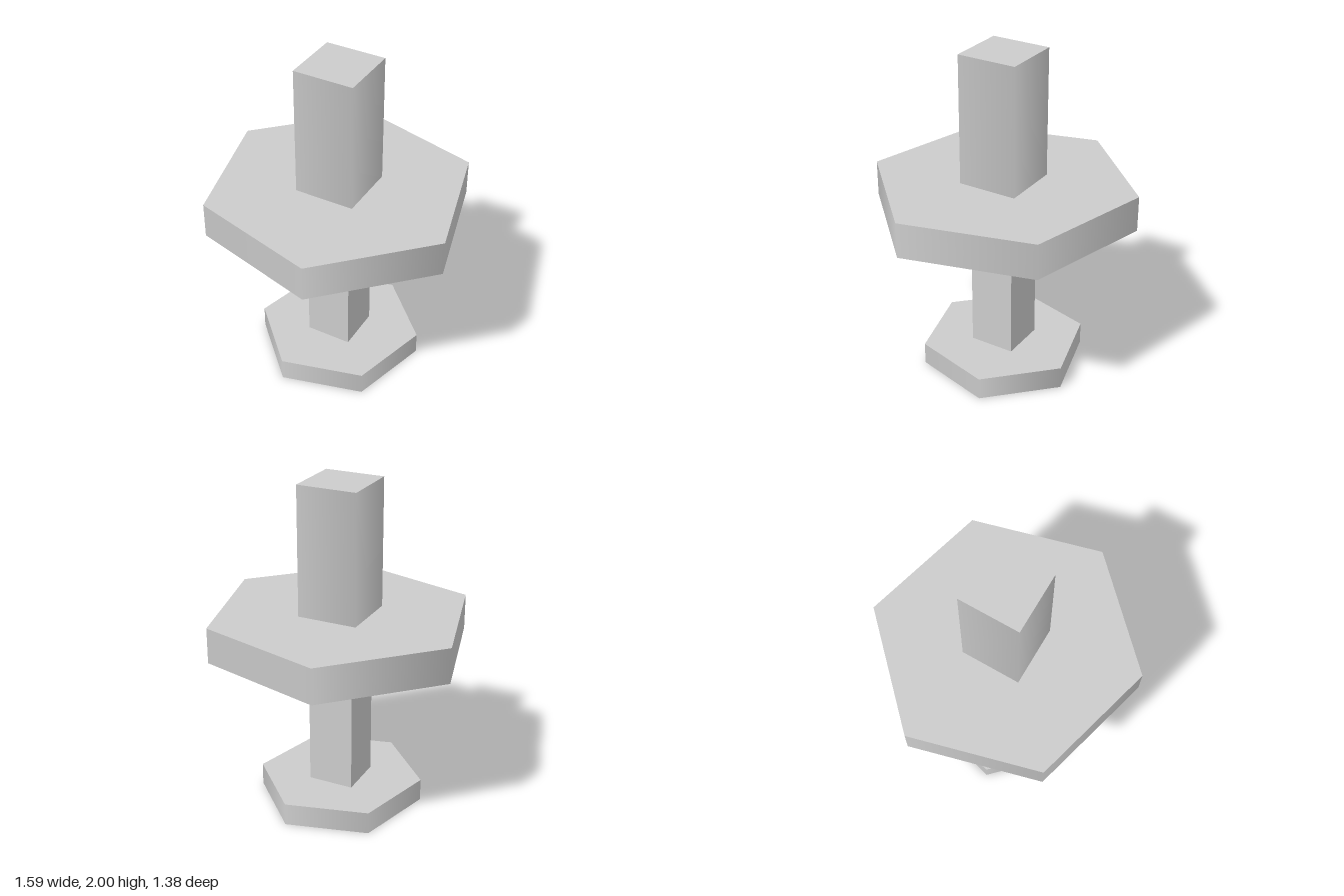
import * as THREE from 'three';

export function createModel() {
  const model = new THREE.Group();
  const grey = new THREE.MeshStandardMaterial({ color: 0xcccccc });
  grey.name = 'lightGrey';

  // Upright prism between two heights; smooth or faceted sides
  function prism(name, radius, sides, bottom, top, turn = 0, faceted = false) {
    let geometry = new THREE.CylinderGeometry(radius, radius, top - bottom, sides);
    if (faceted) {
      geometry = geometry.toNonIndexed();
      geometry.computeVertexNormals();
    }
    const mesh = new THREE.Mesh(geometry, grey);
    mesh.name = name;
    mesh.position.y = (bottom + top) / 2;
    mesh.rotation.y = turn;
    model.add(mesh);
  }

  // Hexagonal foot with corners towards front and back
  prism('base', 0.5, 6, 0, 0.137);
  // Square lower post with flat faces
  prism('lowerPost', 0.197, 4, 0.137, 0.997, 0, true);
  // Wide hexagonal plate with corners towards the sides
  prism('plate', 0.797, 6, 1.003, 1.218, Math.PI / 2);
  // Square upper post with soft-shaded sides
  prism('upperPost', 0.258, 4, 1.218, 2);

  return model;
}
